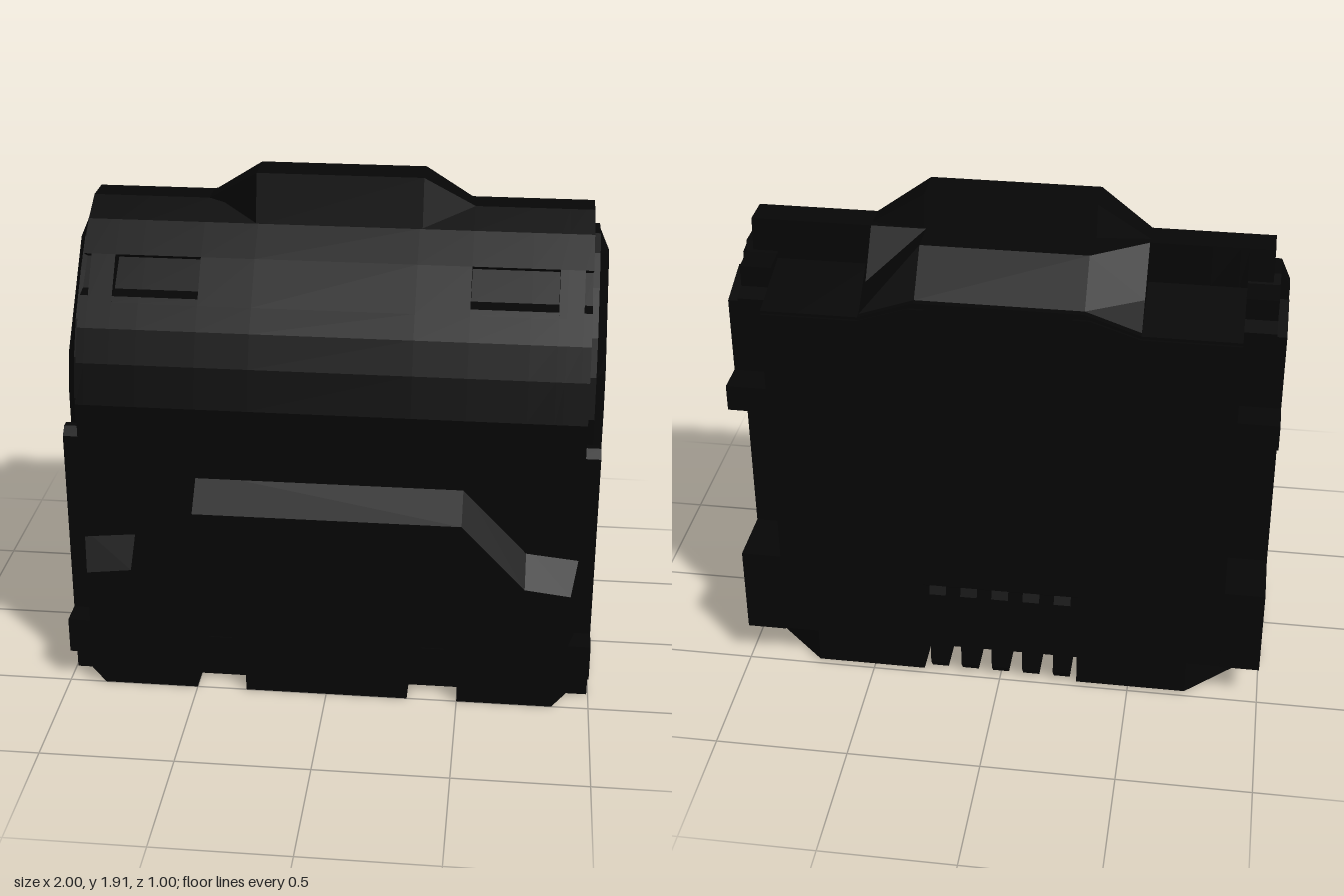
import * as THREE from 'three';

const black = new THREE.MeshStandardMaterial({ color: 0x060606 });
black.name = 'matteBlack';

const toShape = pts => new THREE.Shape(pts.map(p => new THREE.Vector2(p[0], p[1])));

// Applies an optional vertex rule and wraps the geometry in a named mesh.
function finish(geo, name, rule) {
  if (rule) {
    const p = geo.attributes.position, v = new THREE.Vector3();
    for (let i = 0; i < p.count; i++) {
      rule(v.fromBufferAttribute(p, i));
      p.setXYZ(i, v.x, v.y, v.z);
    }
  }
  geo.computeVertexNormals();
  const mesh = new THREE.Mesh(geo, black);
  mesh.name = name;
  return mesh;
}

// Side outline [z, y] swept between two x positions.
function slab(name, pts, xa, xb, rule) {
  const x0 = Math.min(xa, xb), x1 = Math.max(xa, xb);
  const geo = new THREE.ExtrudeGeometry(toShape(pts), { depth: x1 - x0, bevelEnabled: false });
  geo.rotateY(-Math.PI / 2).translate(x1, 0, 0);
  return finish(geo, name, rule);
}

// Front outline [x, y] swept between two z positions.
function plate(name, pts, z0, z1, rule) {
  const geo = new THREE.ExtrudeGeometry(toShape(pts), { depth: z1 - z0, bevelEnabled: false });
  geo.translate(0, 0, z0);
  return finish(geo, name, rule);
}

function box(name, x0, x1, y0, y1, z0, z1) {
  const geo = new THREE.BoxGeometry(Math.abs(x1 - x0), y1 - y0, z1 - z0);
  geo.translate((x0 + x1) / 2, (y0 + y1) / 2, (z0 + z1) / 2);
  return finish(geo, name);
}

// Side outline of the shell, with optional front pocket, low rear ledge, vent or undercut.
function shellProfile({ pocket, low, vent, undercut, back = -0.485 } = {}) {
  const pts = [[0.4, 0], [0.4, 1.13], [0.36, 1.28], [0.31, 1.4], [0.25, 1.48]];
  if (pocket) pts.push([0.235, 1.5], [0.18, 1.51], [0.08, 1.6]);
  pts.push([0.14, 1.63], [0.03, 1.73], [-0.08, 1.79], [-0.2, 1.79]);
  if (low) pts.push([-0.21, 1.64], [back, back < -0.4 ? 1.57 : 1.62]);
  else pts.push([-0.33, 1.79], [-0.46, 1.64], [back, 1.64]);
  if (vent) pts.push([back, 0.42], [-0.41, 0.36], [-0.41, 0.07], [-0.16, 0.07]);
  else if (undercut) pts.push([back, 0.15], [-0.26, 0.15], [-0.26, 0.01]);
  else pts.push([back, 0.01]);
  // Recessed floor behind the front rim
  pts.push([-0.14, 0.01], [-0.14, 0.03], [-0.07, 0.06], [0.33, 0.06], [0.35, 0]);
  return pts;
}

export function createModel() {
  const g = new THREE.Group();
  g.name = 'equipmentPack';

  // Main shell in slices
  g.add(slab('centreShell', shellProfile({ vent: true }), -0.3, 0.3));
  const hump = [[0.03, 1.72], [-0.02, 1.91], [-0.17, 1.91], [-0.2, 1.72]];
  g.add(slab('topHump', hump, -0.31, 0.31));

  for (const s of [-1, 1]) {
    // Raised roof centre ramps down to the low ledge at its outer end
    g.add(slab('roofRamp', shellProfile(), s * 0.3, s * 0.5, v => {
      if (Math.abs(v.x) < 0.4 || v.z > -0.25) return;
      if (v.y > 1.7) v.y = 1.63;
      else if (v.y > 1.6) v.y = 1.57;
    }));
    g.add(slab('humpEnd', hump, s * 0.31, s * 0.5, v => {
      if (Math.abs(v.x) < 0.4) return;
      if (v.y > 1.9) v.y = 1.79;
      v.z = Math.min(v.z, -0.08);
    }));
    g.add(slab('pocketShell', shellProfile({ pocket: true, low: true }), s * 0.5, s * 0.72));
    g.add(slab('pocketShellOuter', shellProfile({ pocket: true, low: true, undercut: true }), s * 0.72, s * 0.82));
    g.add(slab('outerShell', shellProfile({ low: true, undercut: true }), s * 0.82, s * 0.85));
    g.add(slab('shellEdge', shellProfile({ low: true, back: -0.26 }), s * 0.85, s * 0.91));
    g.add(slab('shellEdgePocket', shellProfile({ pocket: true, low: true, back: -0.26 }), s * 0.91, s * 0.94));

    // Angled corner under the rear
    g.add(slab('rearBaseCorner', [[-0.24, 0.01], [-0.24, 0.15], [-0.485, 0.15], [-0.485, 0.01]], s * 0.72, s * 0.94, v => {
      if (Math.abs(v.x) > 0.9) v.z = Math.max(v.z, -0.28);
    }));

    // Side plate with rear notch and ledges
    const front = [[0.32, 0], [0.32, 1.12], [0.28, 1.27], [0.22, 1.4], [0.1, 1.55], [0, 1.65], [-0.08, 1.7]];
    const rear = [[-0.37, 1.25], [-0.49, 1.25], [-0.49, 1.15], [-0.26, 1.15], [-0.26, 0.5],
      [-0.49, 0.5], [-0.49, 0.15], [-0.26, 0.15], [-0.26, 0], [-0.14, 0]];
    g.add(slab('sidePlate', [...front, [-0.2, 1.7], [-0.21, 1.66], [-0.31, 1.65], [-0.31, 1.57], [-0.37, 1.55], ...rear,
      [-0.14, 0.03], [-0.07, 0.06], [-0.07, 0]], s * 0.85, s * 0.965));
    // Outer layer with vertical channels and a chamfered front edge
    g.add(slab('sidePlateOuter', [...front, [-0.14, 1.7], [-0.14, 1.27], [-0.2, 1.27], [-0.2, 1.6],
      [-0.37, 1.54], ...rear, [-0.14, 0.09], [-0.07, 0.14], [-0.07, 0]], s * 0.965, s, v => {
      if (Math.abs(v.x) < 0.99) return;
      if (v.z > -0.05) v.z -= 0.07;
      if (v.y > 1.35 && v.z > -0.15) v.y -= 0.08;
    }));

    // Vertical strip and corner bracket beside the front panel
    g.add(slab('sideStrip', [[0.34, 0.03], [0.37, 0], [0.4, 0], [0.4, 1.0], [0.37, 1.03], [0.34, 1.03]], s * 0.9, s * 0.995));
    g.add(box('cornerBracket', s * 0.9, s * 0.995, 0.13, 0.27, 0.34, 0.5));
    g.add(box('frontTab', s * 0.36, s * 0.45, 0.14, 0.23, 0.46, 0.505));

    // Raised flap on the upper back
    g.add(plate('rearFlap', [[0.26, 1.62], [0.26, 1.43], [0.47, 1.42], [0.7, 1.2], [0.85, 1.18], [0.85, 1.56], [0.5, 1.56], [0.32, 1.62]]
      .map(([x, y]) => [s * x, y]), -0.495, -0.46));
  }

  // Front panel with a raised centre, sloping top and bottom cutouts
  const half = [[0.31, 0], [0.31, 0.13], [0.5, 0.13], [0.5, 0], [0.86, 0], [0.94, 0.06],
    [0.94, 0.6], [0.74, 0.62], [0.5, 0.87]];
  const outline = [...half, ...half.slice().reverse().map(([x, y]) => [-x, y])];
  g.add(plate('frontPanel', outline, 0.38, 0.5, v => {
    if (v.z < 0.49) return;
    if (v.y > 0.5) v.y -= 0.12;
    if (Math.abs(v.x) > 0.9) v.x = Math.sign(v.x) * 0.91;
  }));

  // Vent ribs wrapping from the lower back to the underside
  for (let i = 0; i < 5; i++) {
    const x = -0.24 + i * 0.12;
    g.add(slab('ventRib', [[-0.38, 0.1], [-0.38, 0.42], [-0.47, 0.42], [-0.49, 0.38], [-0.49, 0.05],
      [-0.46, 0.01], [-0.16, 0.01], [-0.16, 0.1]], x - 0.032, x + 0.032));
  }
  return g;
}
